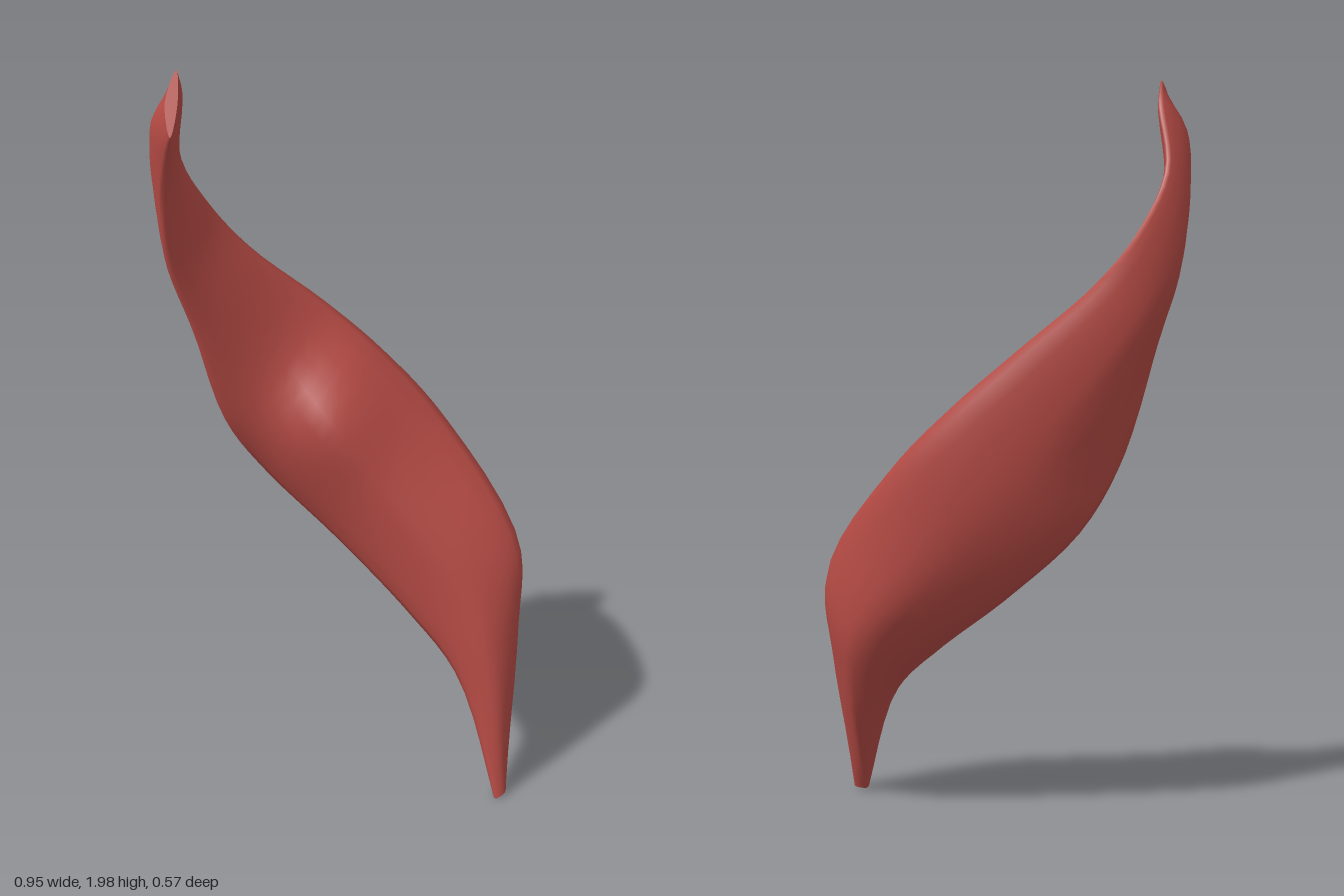
import * as THREE from 'three';

// Cross-sections from the upper end to the lower tip:
// lower-left edge, upper-right edge, [front bulge, back bulge].
const SECTIONS = [
  [[-0.435, 1.86, 0.05], [-0.4, 2, -0.05], [0.01, 0.02]],
  [[-0.44, 1.8, 0], [-0.385, 1.94, -0.1], [0.01, 0.055]],
  [[-0.45, 1.68, -0.06], [-0.39, 1.78, -0.17], [0.02, 0.045]],
  [[-0.44, 1.52, -0.09], [-0.31, 1.63, -0.23], [0.025, 0.06]],
  [[-0.38, 1.33, -0.12], [-0.2, 1.5, -0.25], [0.04, 0.08]],
  [[-0.3, 1.06, -0.15], [0, 1.335, -0.26], [0.075, 0.085]],
  [[-0.18, 0.87, -0.2], [0.15, 1.2, -0.22], [0.19, 0.07]],
  [[0, 0.68, -0.13], [0.3, 1.03, -0.13], [0.17, 0.09]],
  [[0.17, 0.5, 0.02], [0.465, 0.72, 0.08], [0.1, 0.16]],
  [[0.28, 0.35, 0.14], [0.455, 0.48, 0.14], [0.07, 0.14]],
  [[0.36, 0.02, 0.28], [0.4, 0.03, 0.24], [0.015, 0.02]],
];
const ROWS = 48;
const SIDES = 20;

function surface(points, index) {
  const geometry = new THREE.BufferGeometry().setFromPoints(points);
  geometry.setIndex(index);
  geometry.computeVertexNormals();
  return geometry;
}

// Each section gets a front and a back crest, pushed out from its middle
// at right angles to both its width and the length of the muscle.
function makeCorners() {
  const edges = SECTIONS.map(([l, r]) => [new THREE.Vector3(...l), new THREE.Vector3(...r)]);
  const middles = edges.map(([l, r]) => l.clone().lerp(r, 0.5));
  const last = middles.length - 1;
  return edges.map(([left, right], i) => {
    const [front, back] = SECTIONS[i][2];
    const along = middles[Math.min(i + 1, last)].clone().sub(middles[Math.max(i - 1, 0)]);
    const out = along.cross(right.clone().sub(left)).normalize();
    return [
      left, middles[i].clone().addScaledVector(out, front),
      right, middles[i].clone().addScaledVector(out, -back),
    ];
  });
}

// Smooth rails run along the length; a closed curve joins them at each row.
function makeRings() {
  const sections = makeCorners();
  const rails = [0, 1, 2, 3].map((k) => new THREE.CatmullRomCurve3(sections.map((s) => s[k])));
  const rings = [];
  for (let i = 0; i <= ROWS; i++) {
    const corners = rails.map((rail) => rail.getPoint(i / ROWS));
    const loop = new THREE.CatmullRomCurve3(corners, true, 'centripetal');
    rings.push(Array.from({ length: SIDES }, (_, j) => loop.getPoint(j / SIDES)));
  }
  return rings;
}

function makeBody(rings) {
  const index = [];
  for (let i = 0; i < ROWS; i++) {
    for (let j = 0; j < SIDES; j++) {
      const a = i * SIDES + j;
      const b = i * SIDES + (j + 1) % SIDES;
      index.push(a, a + SIDES, b, b, a + SIDES, b + SIDES);
    }
  }
  return surface(rings.flat(), index);
}

function makeCap(ring, flip) {
  const centre = new THREE.Vector3();
  ring.forEach((p) => centre.addScaledVector(p, 1 / SIDES));
  const index = [];
  for (let j = 0; j < SIDES; j++) {
    const next = (j + 1) % SIDES;
    index.push(SIDES, flip ? next : j, flip ? j : next);
  }
  return surface([...ring, centre], index);
}

export function createModel() {
  const model = new THREE.Group();
  model.name = 'curvedMuscle';
  const red = new THREE.MeshStandardMaterial({ color: 0xb44a44 });
  red.name = 'muscle red';

  const add = (name, geometry) => {
    const mesh = new THREE.Mesh(geometry, red);
    mesh.name = name;
    model.add(mesh);
  };

  const rings = makeRings();
  add('muscleBody', makeBody(rings));
  add('upperEnd', makeCap(rings[0], false));
  add('lowerTip', makeCap(rings[ROWS], true));
  return model;
}
